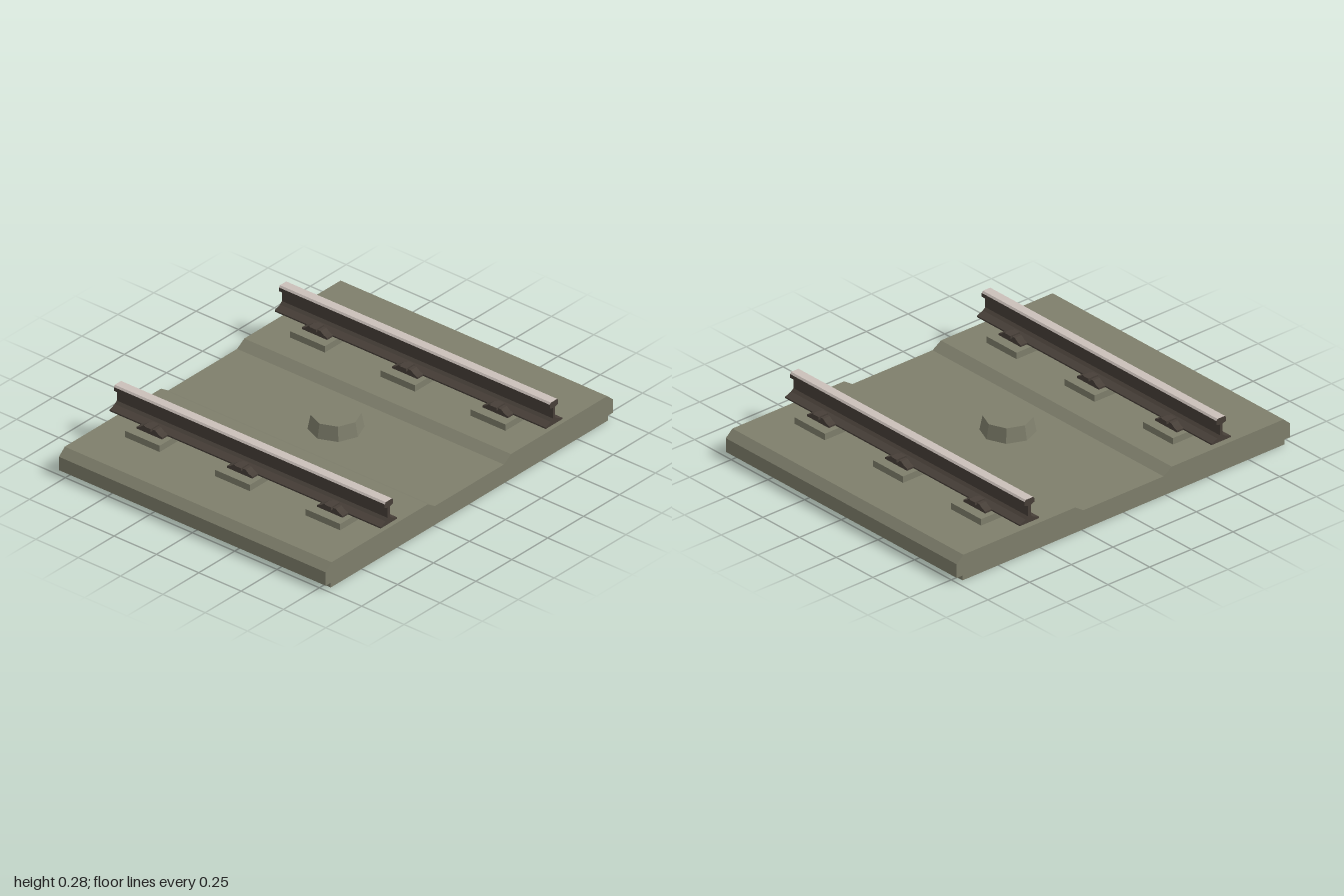
import * as THREE from 'three';

const mat = (name, color) => {
  const m = new THREE.MeshStandardMaterial({ color });
  m.name = name;
  return m;
};

// Mirrors a half profile (x >= 0, bottom to top) into a closed outline
const mirrored = (half) => [...half, ...half.map(([x, y]) => [-x, y]).reverse()];

// Extrudes an outline by a length, centred on z = 0
function prism(points, length) {
  const shape = new THREE.Shape(points.map(([x, y]) => new THREE.Vector2(x, y)));
  const geo = new THREE.ExtrudeGeometry(shape, { depth: length, bevelEnabled: false });
  return geo.translate(0, 0, -length / 2);
}

export function createModel() {
  const concrete = mat('concrete', 0x7f7f6c);
  const steel = mat('dark steel', 0x473f38);
  const polished = mat('polished steel', 0xcbc0ba);

  const model = new THREE.Group();
  model.name = 'trackSlab';
  const add = (parent, name, geo, material, x = 0, y = 0, z = 0) => {
    const mesh = new THREE.Mesh(geo, material);
    mesh.name = name;
    mesh.position.set(x, y, z);
    parent.add(mesh);
    return mesh;
  };

  // Slab with undercut edges, chamfers and a shallow centre channel
  const slabHalf = [[0.965, 0], [0.965, 0.025], [1, 0.025], [1, 0.095],
    [0.96, 0.13], [0.29, 0.13], [0.24, 0.098]];
  add(model, 'slab', prism(mirrored(slabHalf), 1.575), concrete);

  // Tapered octagonal stopper in the channel
  add(model, 'centreStopper', new THREE.CylinderGeometry(0.115, 0.129, 0.072, 8).toNonIndexed(), concrete, 0, 0.134, 0)
    .geometry.computeVertexNormals();

  // Rail section: foot, web and head, with a separate running surface
  const railHalf = [[0.058, 0.163], [0.058, 0.17], [0.022, 0.184], [0.008, 0.196],
    [0.008, 0.25], [0.029, 0.257], [0.029, 0.276]];
  const railGeo = prism(mirrored(railHalf), 1.6);
  const topGeo = prism(mirrored([[0.029, 0.276], [0.022, 0.285]]), 1.6);

  // Rail fastening pieces
  const padGeo = new THREE.BoxGeometry(0.29, 0.035, 0.205);
  const clampGeo = prism(mirrored([[0.075, 0.161], [0.075, 0.172], [0.055, 0.179], [0.035, 0.194]]), 0.04)
    .rotateY(Math.PI / 2);
  const boltGeo = new THREE.BoxGeometry(0.058, 0.015, 0.037);

  for (const side of [-1, 1]) {
    const track = new THREE.Group();
    track.name = side > 0 ? 'leftRail' : 'rightRail';
    track.position.x = side * 0.575;
    model.add(track);
    add(track, 'railBody', railGeo, steel);
    add(track, 'runningSurface', topGeo, [steel, polished]);

    for (const z of [-0.533, 0, 0.533]) {
      add(track, 'supportPad', padGeo, concrete, 0, 0.1455, z);
      for (const s of [-1, 1]) {
        add(track, 'clamp', clampGeo, steel, s * 0.076, 0, z);
        add(track, 'clampBolt', boltGeo, steel, s * 0.08, 0.1935, z);
      }
    }
  }
  return model;
}
